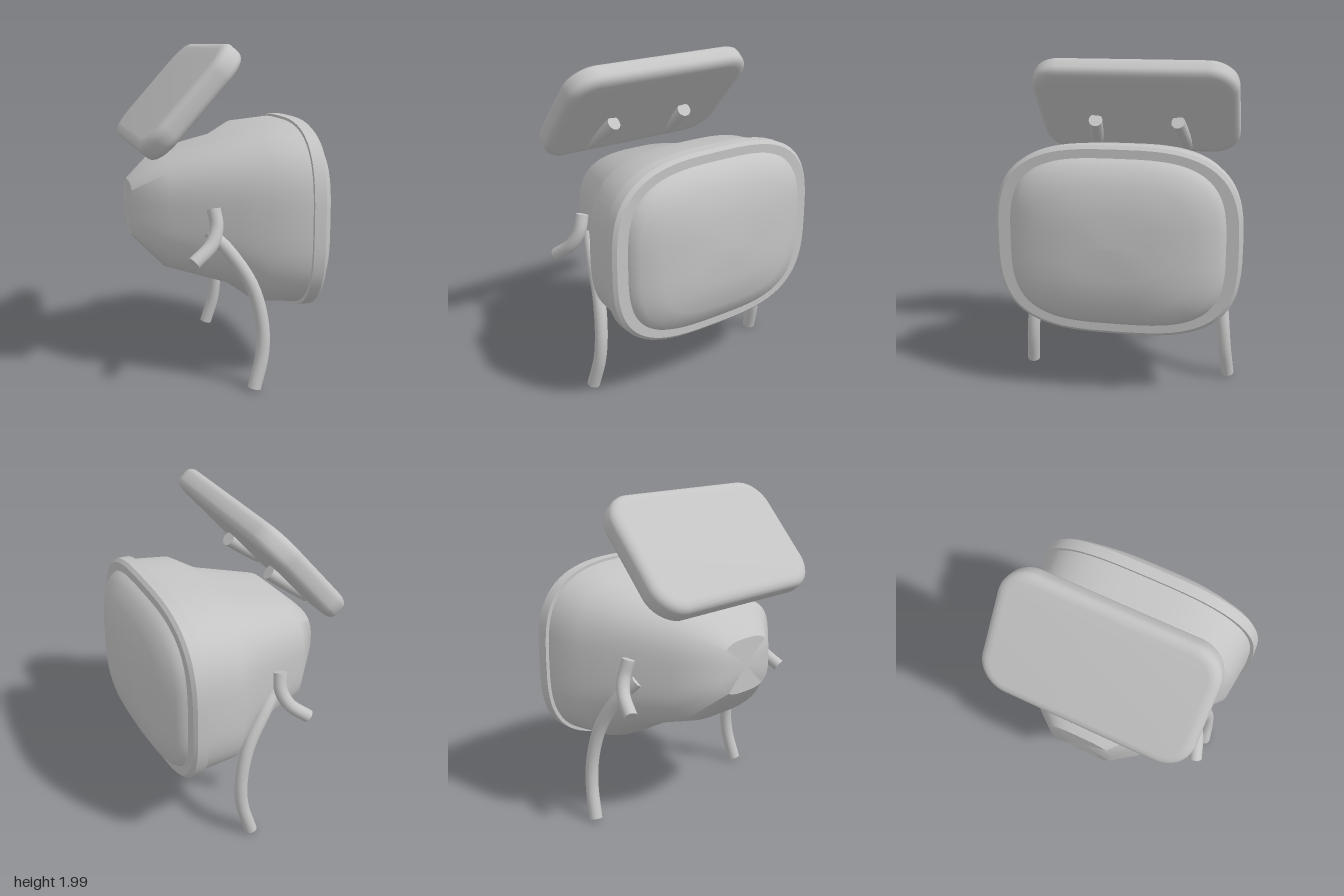
import * as THREE from 'three';
import { toCreasedNormals } from 'three/addons/utils/BufferGeometryUtils.js';

const grey = new THREE.MeshStandardMaterial({ color: 0xc4c4c4 });
grey.name = 'lightGrey';

function add(parent, name, geometry) {
  const mesh = new THREE.Mesh(geometry, grey);
  mesh.name = name;
  parent.add(mesh);
  return mesh;
}

// Loft of rounded cross-sections along x; each section is [x, bottom, top, halfWidth]
function loft(sections, power, steps = 80) {
  const positions = [], index = [];
  const soften = (v) => Math.sign(v) * Math.abs(v) ** (2 / power);
  for (const [x, y0, y1, hz] of sections) {
    for (let j = 0; j < steps; j++) {
      const t = (j / steps) * Math.PI * 2;
      positions.push(x, (y0 + y1) / 2 + soften(Math.sin(t)) * (y1 - y0) / 2, soften(Math.cos(t)) * hz);
    }
  }
  for (let i = 0; i < sections.length - 1; i++) {
    for (let j = 0; j < steps; j++) {
      const k = (j + 1) % steps;
      const a = i * steps + j, b = i * steps + k;
      const c = a + steps, d = b + steps;
      index.push(a, c, b, b, c, d);
    }
  }
  const g = new THREE.BufferGeometry();
  g.setAttribute('position', new THREE.Float32BufferAttribute(positions, 3));
  g.setIndex(index);
  return toCreasedNormals(g, 0.7);
}

// Round bar along a curve with closed ends
function bar(parent, name, points, radius) {
  const group = new THREE.Group();
  group.name = name;
  const curve = new THREE.CatmullRomCurve3(points.map((p) => new THREE.Vector3(...p)));
  add(group, name + 'Bar', new THREE.TubeGeometry(curve, 28, radius, 18));
  for (const t of [0, 1]) {
    const cap = add(group, name + 'End', new THREE.CircleGeometry(radius, 18));
    const p = curve.getPoint(t);
    cap.position.copy(p);
    cap.lookAt(p.clone().addScaledVector(curve.getTangent(t), t ? 1 : -1));
  }
  parent.add(group);
}

function roundedRect(hx, hy, r) {
  const s = new THREE.Shape();
  s.moveTo(-hx + r, -hy);
  s.lineTo(hx - r, -hy);
  s.absarc(hx - r, -hy + r, r, -Math.PI / 2, 0);
  s.lineTo(hx, hy - r);
  s.absarc(hx - r, hy - r, r, 0, Math.PI / 2);
  s.lineTo(-hx + r, hy);
  s.absarc(-hx + r, hy - r, r, Math.PI / 2, Math.PI);
  s.lineTo(-hx, -hy + r);
  s.absarc(-hx + r, -hy + r, r, Math.PI, Math.PI * 1.5);
  return s;
}

export function createModel() {
  const model = new THREE.Group();
  model.name = 'walkingMonitor';

  // Tapered housing, closed at its narrow back
  add(model, 'housing', loft([
    [-0.59, 1.014, 1.016, 0.001],
    [-0.59, 0.85, 1.18, 0.21],
    [-0.40, 0.66, 1.35, 0.44],
    [-0.02, 0.545, 1.44, 0.57],
    [0.13, 0.44, 1.52, 0.69],
    [0.38, 0.42, 1.545, 0.715],
  ], 3.1));

  // Rim around the screen
  add(model, 'rim', loft([
    [0.37, 0.45, 1.51, 0.68],
    [0.37, 0.405, 1.56, 0.737],
    [0.44, 0.405, 1.56, 0.737],
    [0.46, 0.425, 1.54, 0.717],
    [0.46, 0.50, 1.46, 0.62],
  ], 3.1));

  // Bulging screen
  add(model, 'screen', loft([
    [0.455, 0.472, 1.49, 0.647],
    [0.48, 0.485, 1.475, 0.635],
    [0.515, 0.52, 1.44, 0.60],
    [0.565, 0.61, 1.35, 0.47],
    [0.588, 0.78, 1.18, 0.25],
    [0.597, 0.979, 0.981, 0.001],
  ], 3.3));

  // Tilted panel floating above the housing
  const panelGeometry = toCreasedNormals(new THREE.ExtrudeGeometry(roundedRect(0.3325, 0.6, 0.13), {
    depth: 0.055, bevelThickness: 0.045, bevelSize: 0.06, bevelSegments: 4, curveSegments: 10,
  }), 0.5);
  panelGeometry.translate(0, 0, -0.0275);
  panelGeometry.rotateX(-Math.PI / 2);
  panelGeometry.rotateZ(THREE.MathUtils.degToRad(48.5));
  add(model, 'panel', panelGeometry).position.set(-0.297, 1.683, 0);

  // Mirrored limbs
  for (const [side, m] of [['left', 1], ['right', -1]]) {
    const mirror = (pts) => pts.map(([x, y, z]) => [x, y, z * m]);
    bar(model, side + 'Peg', mirror([
      [-0.232, 1.597, 0.27], [-0.36, 1.5, 0.29], [-0.48, 1.415, 0.31],
    ]), 0.045);
    bar(model, side + 'Arm', mirror([
      [-0.175, 1.08, 0.555], [-0.165, 0.98, 0.585], [-0.205, 0.885, 0.625], [-0.315, 0.795, 0.67],
    ]), 0.04);
    bar(model, side + 'Leg', mirror([
      [-0.19, 0.94, 0.50], [-0.08, 0.82, 0.55], [0.045, 0.62, 0.59],
      [0.1, 0.40, 0.615], [0.098, 0.22, 0.63], [0.045, 0.02, 0.65],
    ]), 0.04);
  }
  return model;
}
